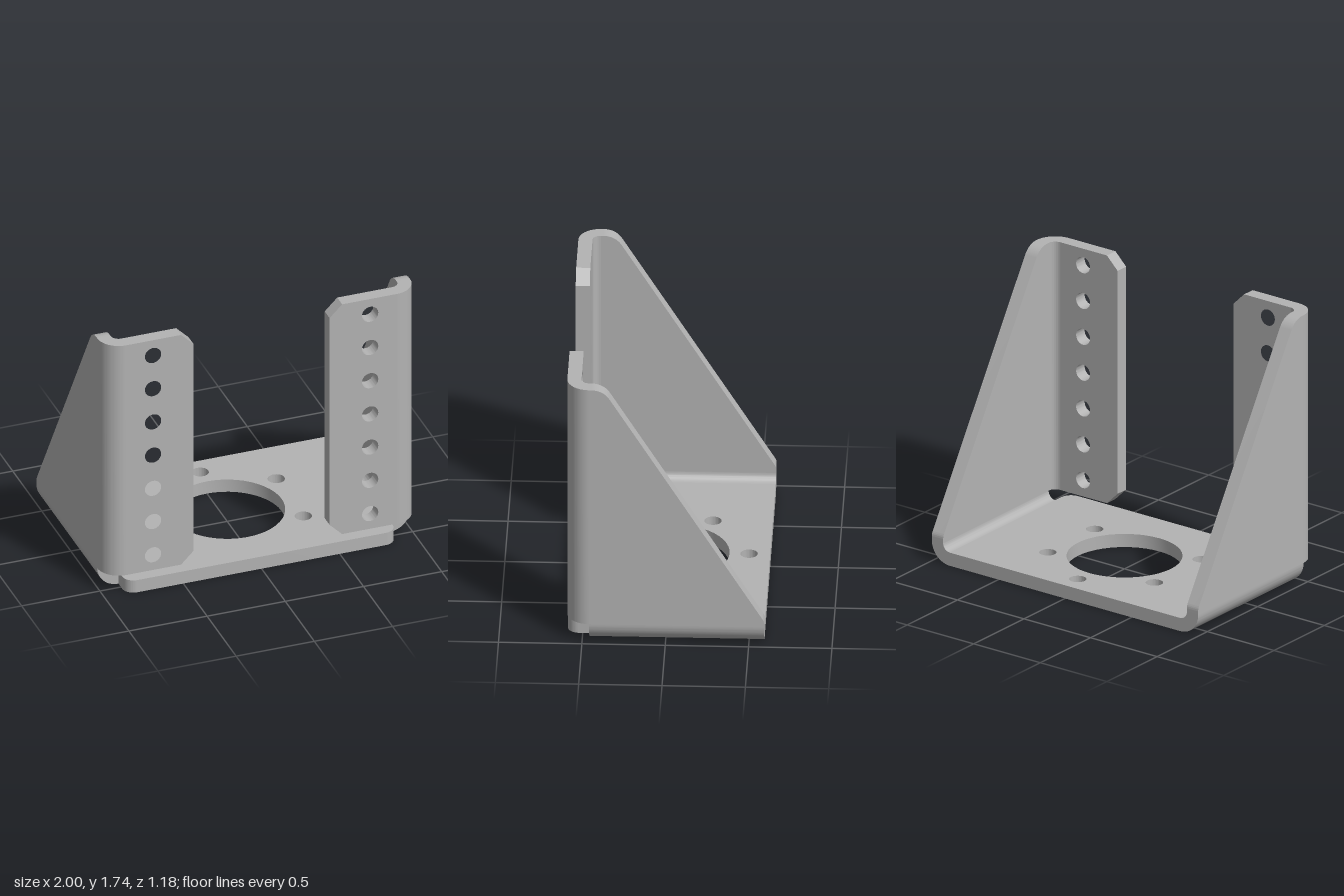
import * as THREE from 'three';
import { toCreasedNormals } from 'three/addons/utils/BufferGeometryUtils.js';

const T = 0.085;        // sheet thickness
const R = 0.135;        // outer bend radius
const X = 1, Z = 0.592, H = 1.737;
const BX = X - R, BZ = Z - R; // where the bends begin

export function createModel() {
  const steel = new THREE.MeshStandardMaterial({ color: 0xb3b3b3 });
  steel.name = 'plain steel';
  const bracket = new THREE.Group();
  bracket.name = 'mountingBracket';

  const extrude = (shape, depth) => toCreasedNormals(
    new THREE.ExtrudeGeometry(shape, { depth, bevelEnabled: false, curveSegments: 24 }), 0.5);
  const add = (name, geometry) => {
    const mesh = new THREE.Mesh(geometry, steel);
    mesh.name = name;
    bracket.add(mesh);
  };
  const outline = (points) => new THREE.Shape(points.map(([x, y]) => new THREE.Vector2(x, y)));
  const hole = (shape, x, y, r) => shape.holes.push(new THREE.Path().absarc(x, y, r, 0, Math.PI * 2, true));

  // Base plate, drawn with shape y = -z, front corners rounded
  const c = 0.07;
  const base = new THREE.Shape();
  base.moveTo(-BX, Z);
  base.lineTo(-BX, -Z + c);
  base.absarc(-BX + c, -Z + c, c, Math.PI, Math.PI * 1.5, false);
  base.absarc(BX - c, -Z + c, c, Math.PI * 1.5, Math.PI * 2, false);
  base.lineTo(BX, Z);
  hole(base, 0, 0, 0.348);
  for (const [x, z] of [[0, -0.465], [0.4, -0.233], [-0.4, -0.233], [0.4, 0.233], [-0.4, 0.233]])
    hole(base, x, -z, 0.052);
  add('basePlate', extrude(base, T).rotateX(-Math.PI / 2));

  // Quarter ring cross-section of a bend, mirrored by side
  const bendShape = (side, cx, cy) => {
    const outer = [], inner = [], n = 24;
    for (let i = 0; i <= n; i++) {
      const a = -Math.PI / 2 * (1 - i / n);
      const at = (r) => [side * (cx + r * Math.cos(a)), cy + r * Math.sin(a)];
      outer.push(at(R));
      inner.unshift(at(R - T));
    }
    return outline([...outer, ...inner]);
  };

  for (const [side, label] of [[1, 'left'], [-1, 'right']]) {
    // Bend from base up into the side wall
    add(label + 'BaseBend', extrude(bendShape(side, BX, R), BZ + Z).translate(0, 0, -Z));

    // Tapered side wall, drawn in z and y
    const wall = new THREE.Shape();
    wall.moveTo(BZ, R);
    wall.lineTo(BZ, H);
    wall.lineTo(0.447, H);
    wall.quadraticCurveTo(0.372, H, 0.333, 1.674);
    wall.lineTo(-0.582, 0.192);
    wall.quadraticCurveTo(-Z, 0.176, -Z, 0.158);
    wall.lineTo(-Z, R);
    add(label + 'SideWall', extrude(wall, T).rotateY(-Math.PI / 2)
      .translate(side > 0 ? X : -X + T, 0, 0));

    // Bend from side wall into the front flange
    add(label + 'FlangeBend', extrude(bendShape(side, BX, -BZ), H - R)
      .rotateX(-Math.PI / 2).translate(0, R, 0));

    // Front flange with chamfered inner corners and a row of holes
    const flange = outline([
      [BX, R], [BX, H], [0.515, H], [0.435, H - 0.08], [0.435, R + 0.08], [0.515, R],
    ].map(([x, y]) => [side * x, y]));
    for (let i = 0; i < 7; i++) hole(flange, side * 0.694, 0.241 + i * 0.2316, 0.052);
    add(label + 'Flange', extrude(flange, T).translate(0, 0, Z - T));
  }
  return bracket;
}
